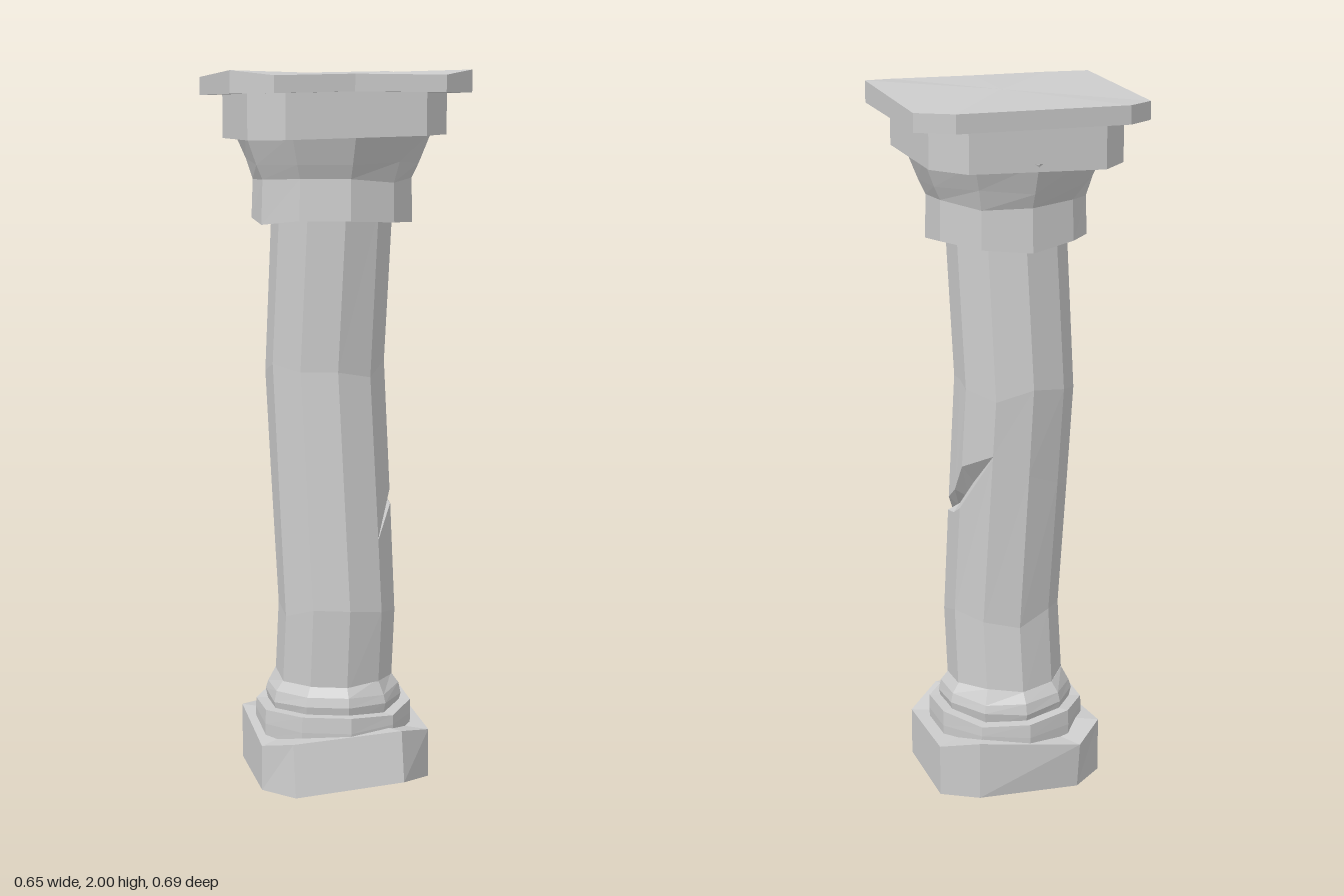
import * as THREE from 'three';

const material = new THREE.MeshStandardMaterial({ color: 0xcccccc, flatShading: true });

// Skins a stack of closed rings (bottom to top, each turning from +z to +x) and caps both ends.
function loft(name, rings) {
  const pos = [];
  const tri = (a, b, c) => pos.push(...a, ...b, ...c);
  const centre = ring => [0, 1, 2].map(i => ring.reduce((s, p) => s + p[i], 0) / ring.length);
  const n = rings[0].length;
  const low = rings[0], high = rings[rings.length - 1];
  const lowMid = centre(low), highMid = centre(high);
  for (let k = 0; k < n; k++) {
    const j = (k + 1) % n;
    for (let i = 0; i + 1 < rings.length; i++) {
      const a = rings[i], b = rings[i + 1];
      tri(a[k], a[j], b[j]);
      tri(a[k], b[j], b[k]);
    }
    tri(lowMid, low[j], low[k]);
    tri(highMid, high[k], high[j]);
  }
  const geo = new THREE.BufferGeometry();
  geo.setAttribute('position', new THREE.Float32BufferAttribute(pos, 3));
  geo.computeVertexNormals();
  const mesh = new THREE.Mesh(geo, material);
  mesh.name = name;
  return mesh;
}

// The bent centre line of the column: [y, x, z].
const SPINE = [[0, 0, 0.02], [0.3, 0.003, 0.02], [0.5, 0.008, 0.04], [1.18, -0.018, -0.003], [1.6, -0.003, 0.025], [2, 0, 0.022]];
function spineAt(y) {
  let i = 0;
  while (i < SPINE.length - 2 && y > SPINE[i + 1][0]) i++;
  const [y0, x0, z0] = SPINE[i], [y1, x1, z1] = SPINE[i + 1];
  const t = (y - y0) / (y1 - y0);
  return [x0 + (x1 - x0) * t, z0 + (z1 - z0) * t];
}

// Ten-sided ring about the spine; wave makes its edge uneven.
function tenSided(y, r, wave = 0, phase = 0) {
  return Array.from({ length: 10 }, (_, k) => {
    const a = k * Math.PI / 5, [cx, cz] = spineAt(y);
    return [cx + r * Math.sin(a), y + wave * Math.sin(k * 2.1 + phase), cz + r * Math.cos(a)];
  });
}

// Shaft columns: ten corners plus the middle of the split facet on the left side.
const COLUMNS = [0, 1, 2, 2.5, 3, 4, 5, 6, 7, 8, 9];
// Per column: lower lip, groove and upper lip heights, and groove depth.
const CRACK = {
  1: [0.706, 0.71, 0.714, 0], 2: [0.79, 0.805, 0.83, 0.03], 2.5: [0.80, 0.84, 0.87, 0.045],
  3: [0.83, 0.90, 0.955, 0.045], 4: [0.996, 1.0, 1.004, 0],
};
function shaftRing(heightOf, r, depthOf = () => 0) {
  return COLUMNS.map(k => {
    const a = k * Math.PI / 5, y = heightOf(k), [cx, cz] = spineAt(y);
    const d = (k % 1 ? r * Math.cos(Math.PI / 10) : r) - depthOf(k);
    return [cx + d * Math.sin(a), y, cz + d * Math.cos(a)];
  });
}
function crackRing(level) {
  const around = k => (k === 0 ? 0.75 : 0.95 - (k - 5) * 0.04) + (level - 1) * 0.004;
  return shaftRing(k => (CRACK[k] ? CRACK[k][level] : around(k)), 0.167,
    k => (level === 1 && CRACK[k] ? CRACK[k][3] : 0));
}

export function createModel() {
  const group = new THREE.Group();

  // Worn block at the foot, its front corner chipped up from the ground
  const plinthTop = [
    [-0.165, 0.16, 0.25], [0.145, 0.175, 0.25], [0.25, 0.14, 0.155], [0.25, 0.15, -0.13],
    [0.15, 0.17, -0.19], [-0.14, 0.14, -0.23], [-0.235, 0.16, -0.13], [-0.235, 0.13, 0.155],
  ];
  const plinthFoot = plinthTop.map(([x, y, z], i) =>
    [x, i === 1 ? 0.035 : i === 0 ? 0.015 : 0, i < 2 ? 0.28 : Math.max(z, -0.21)]);
  group.add(loft('plinth', [plinthFoot, plinthTop]));

  // Mouldings between plinth and shaft
  group.add(loft('baseSlab', [tenSided(0.13, 0.222), tenSided(0.175, 0.224, 0.004), tenSided(0.212, 0.222, 0.008, 2)]));
  group.add(loft('baseRing', [tenSided(0.19, 0.185), tenSided(0.235, 0.195, 0.006, 1),
    tenSided(0.262, 0.188, 0.005, 2), tenSided(0.295, 0.166, 0.006)]));

  // Bent shaft with a slanting crack
  const wavy = (y, phase) => k => y + 0.02 * Math.sin(k * 2.1 + phase);
  group.add(loft('shaft', [
    shaftRing(() => 0.27, 0.167), shaftRing(wavy(0.5, 1), 0.166),
    crackRing(0), crackRing(1), crackRing(2),
    shaftRing(wavy(1.18, 3), 0.167), shaftRing(() => 1.62, 0.167),
  ]));

  // Flaring capital
  group.add(loft('capital', [tenSided(1.592, 0.222, 0.01, 1), tenSided(1.705, 0.219, 0.008, 2),
    tenSided(1.75, 0.238, 0.006), tenSided(1.83, 0.272)]));

  // Chamfered block above the capital
  const blockOutline = [[-0.19, 0.295], [0.19, 0.295], [0.272, 0.2], [0.272, -0.16],
    [0.19, -0.245], [-0.19, -0.245], [-0.272, -0.16], [-0.272, 0.2]];
  group.add(loft('abacusBlock', [
    blockOutline.map(([x, z]) => [x, 1.815 + 0.025 * z + 0.02 * x, z]),
    blockOutline.map(([x, z]) => [x, 1.945, z]),
  ]));

  // Broken top plate
  const plateTop = [
    [-0.23, 1.985, 0.345], [-0.01, 1.988, 0.317], [0.228, 1.985, 0.345], [0.327, 1.997, 0.25], [0.327, 1.973, -0.21],
    [0.257, 1.986, -0.35], [-0.23, 1.98, -0.31], [-0.327, 1.973, -0.21], [-0.327, 1.997, 0.25],
  ];
  const plate = loft('topPlate', [
    plateTop.map(([x, y, z]) => [x, y - (z > 0.3 ? 0.045 : z > 0 ? 0.06 : 0.05), z]), plateTop]);
  group.add(plate);

  return group;
}
